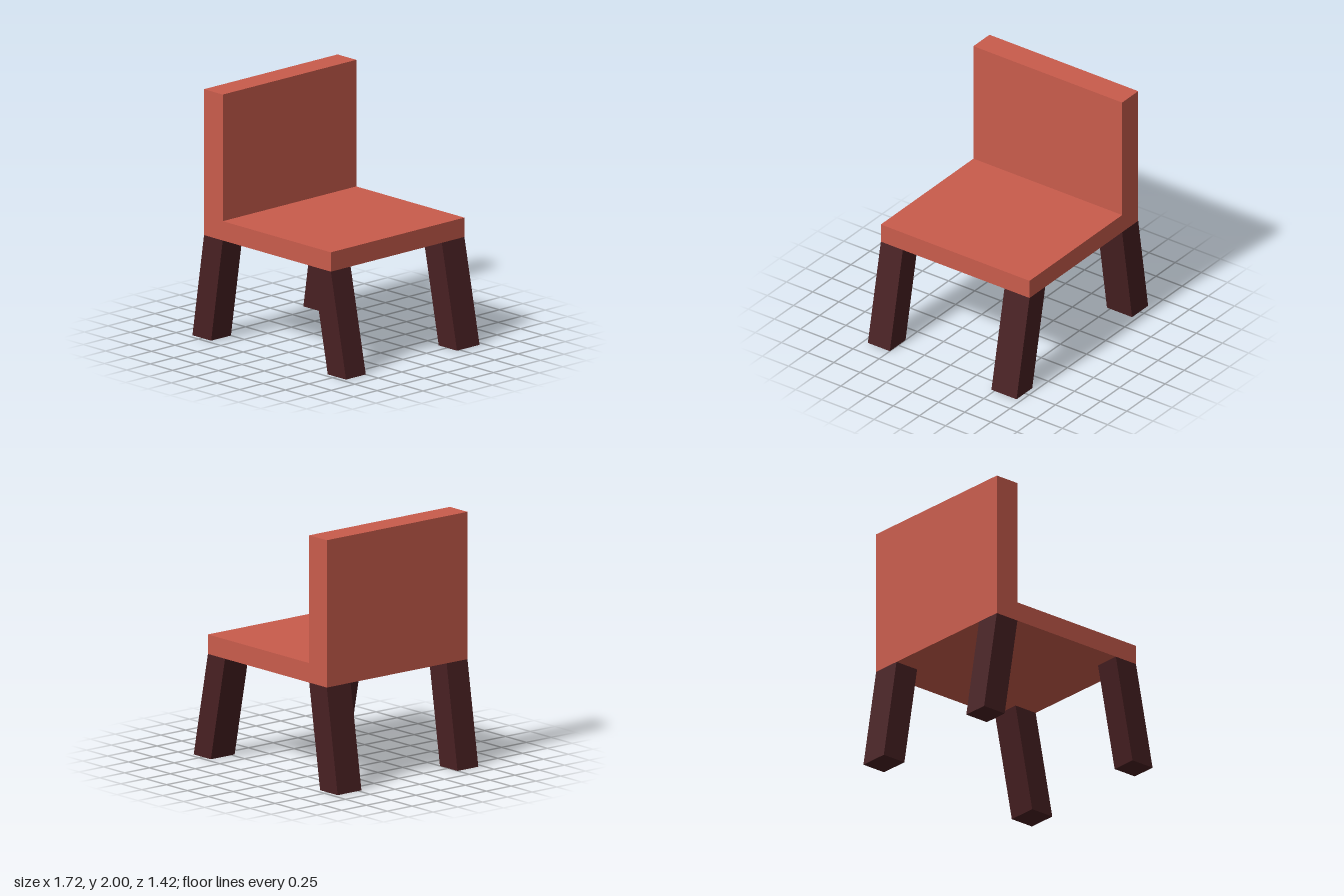
import * as THREE from 'three';

const DEPTH = 0.71; // half depth of the chair

// Extrudes an x-y outline between two z positions
function slab(name, points, z0, z1, material) {
  const shape = new THREE.Shape(points.map(([x, y]) => new THREE.Vector2(x, y)));
  const geometry = new THREE.ExtrudeGeometry(shape, { depth: z1 - z0, bevelEnabled: false });
  geometry.translate(0, 0, z0);
  const mesh = new THREE.Mesh(geometry, material);
  mesh.name = name;
  return mesh;
}

export function createModel() {
  const chair = new THREE.Group();
  chair.name = 'chair';
  const red = new THREE.MeshStandardMaterial({ color: 0xc95c4c, flatShading: true });
  const darkWood = new THREE.MeshStandardMaterial({ color: 0x482022, flatShading: true });

  // Seat and backrest share one L-shaped outline
  chair.add(slab('seatAndBackrest', [
    [-0.73, 0.83], [0.69, 0.83], [0.69, 0.985],
    [-0.52, 0.985], [-0.52, 2], [-0.73, 2],
  ], -DEPTH, DEPTH, red));

  // Splayed legs: the outline leans outwards towards the floor
  const outlines = {
    backrestLeg: [[-0.86, 0], [-0.65, 0], [-0.52, 0.83], [-0.73, 0.83]],
    seatLeg: [[0.655, 0], [0.86, 0], [0.69, 0.83], [0.485, 0.83]],
  };
  const spans = { Front: [0.5, DEPTH], Rear: [-DEPTH, -0.47] };
  for (const [leg, outline] of Object.entries(outlines)) {
    for (const [end, [z0, z1]] of Object.entries(spans)) {
      chair.add(slab(leg + end, outline, z0, z1, darkWood));
    }
  }
  return chair;
}
